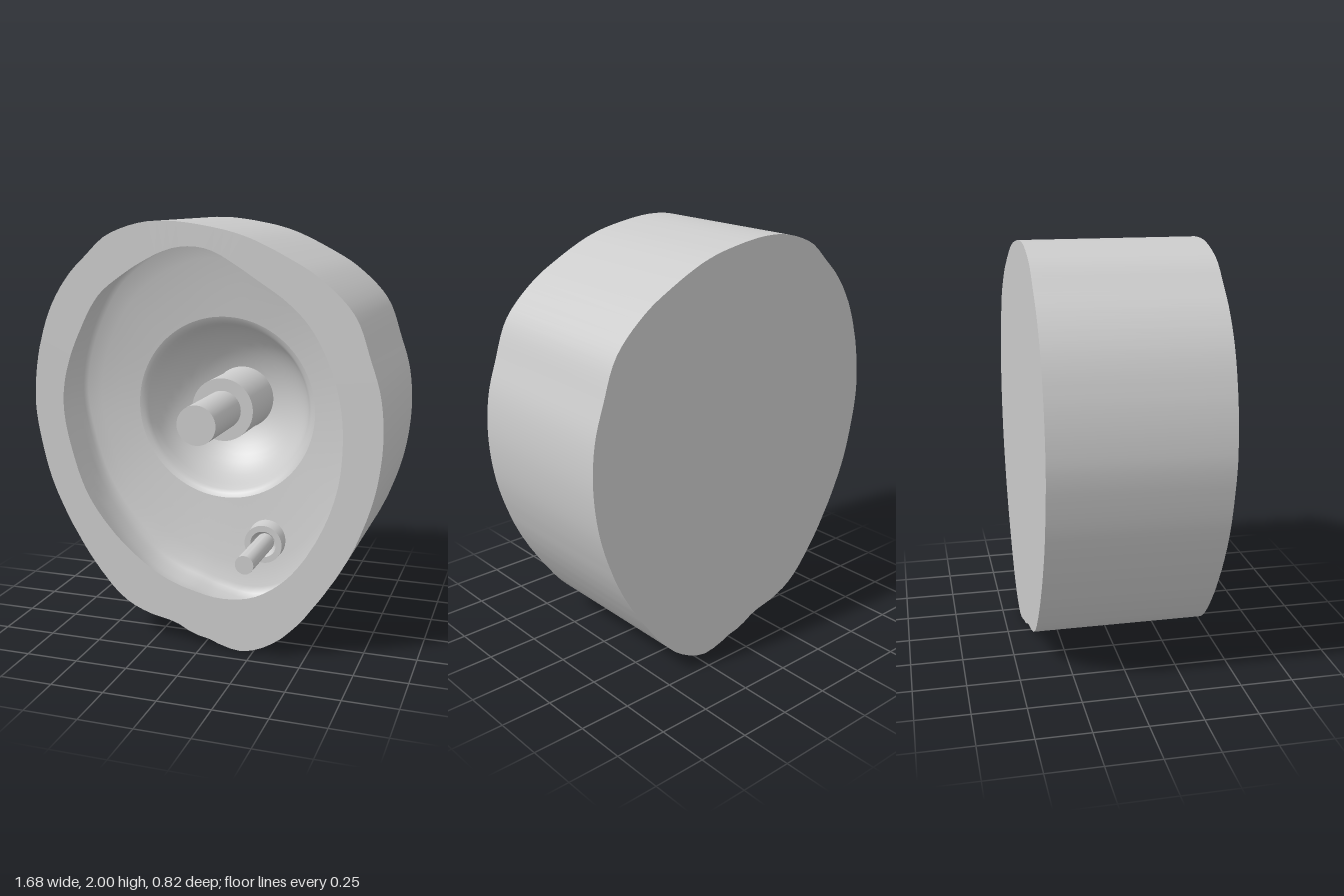
import * as THREE from 'three';
import { toCreasedNormals } from 'three/addons/utils/BufferGeometryUtils.js';

const CX = -0.02, CY = 1.08; // axis shared by the bowl and the main peg
const N = 128;
const HALF = 0.412;
const material = new THREE.MeshStandardMaterial({ color: 0xcccccc });

// Closed outlines of the block and of the cavity mouth, as x, y pairs
const BLOCK = [
  -0.28, 1.993, -0.15, 2, 0, 1.985, 0.2, 1.94, 0.4, 1.85, 0.55, 1.76, 0.7, 1.61, 0.77, 1.43,
  0.82, 1.27, 0.838, 1.08, 0.82, 0.88, 0.78, 0.72, 0.7, 0.52, 0.58, 0.32, 0.45, 0.15,
  0.33, 0.05, 0.2, 0.003, 0.1, 0.02, 0.03, 0.045, -0.04, 0.06, -0.13, 0.105, -0.28, 0.14,
  -0.4, 0.2, -0.53, 0.34, -0.66, 0.54, -0.76, 0.75, -0.81, 0.93, -0.84, 1.13,
  -0.82, 1.36, -0.75, 1.59, -0.65, 1.75, -0.56, 1.84, -0.46, 1.93,
];
const MOUTH = [
  -0.03, 1.89, 0.06, 1.87, 0.16, 1.815, 0.27, 1.745, 0.39, 1.665, 0.49, 1.57, 0.575, 1.43, 0.64, 1.24,
  0.66, 1.05, 0.64, 0.83, 0.58, 0.65, 0.48, 0.47, 0.37, 0.35, 0.24, 0.275, 0.09, 0.255,
  -0.03, 0.275, -0.16, 0.315, -0.29, 0.39, -0.45, 0.53, -0.575, 0.7, -0.65, 0.9,
  -0.693, 1.12, -0.675, 1.29, -0.6, 1.49, -0.5, 1.66, -0.39, 1.75, -0.26, 1.83, -0.14, 1.88,
];

// Turn an outline into N radii at even angles about the axis
function radii(flat) {
  const pts = [];
  for (let i = 0; i < flat.length; i += 2) pts.push(new THREE.Vector3(flat[i] - CX, flat[i + 1] - CY, 0));
  const polar = new THREE.CatmullRomCurve3(pts, true).getPoints(900).slice(0, -1)
    .map((p) => [(Math.atan2(p.y, p.x) + Math.PI * 2) % (Math.PI * 2), Math.hypot(p.x, p.y)])
    .sort((a, b) => a[0] - b[0]);
  return Array.from({ length: N }, (_, j) => {
    const angle = (j / N) * Math.PI * 2;
    return (polar.find((p) => p[0] >= angle) || polar[0])[1];
  });
}

const block = radii(BLOCK);
const mouth = radii(MOUTH);
const circle = (r) => new Array(N).fill(r);
const mix = (from, to, t) => from.map((r, j) => r + (to[j] - r) * t);

// Skin a list of rings; each ring is [radii, z]
function loft(name, rings) {
  const pos = [], index = [];
  for (const [outline, z] of rings) {
    for (let j = 0; j < N; j++) {
      const a = (j / N) * Math.PI * 2;
      pos.push(CX + outline[j] * Math.cos(a), CY + outline[j] * Math.sin(a), z);
    }
  }
  for (let i = 0; i < rings.length - 1; i++) {
    for (let j = 0; j < N; j++) {
      const k = (j + 1) % N;
      const a = i * N + j, b = i * N + k, c = b + N, d = a + N;
      index.push(a, b, c, a, c, d);
    }
  }
  const geo = new THREE.BufferGeometry();
  geo.setAttribute('position', new THREE.Float32BufferAttribute(pos, 3));
  geo.setIndex(index);
  geo.computeVertexNormals();
  const mesh = new THREE.Mesh(geo, material);
  mesh.name = name;
  return mesh;
}

// Stepped round peg pointing to the front; profile is [radius, z] from base to tip
function peg(name, x, y, profile) {
  const geo = new THREE.LatheGeometry(profile.map(([r, z]) => new THREE.Vector2(r, z)), 40);
  geo.rotateX(Math.PI / 2);
  const mesh = new THREE.Mesh(toCreasedNormals(geo, 0.7), material);
  mesh.name = name;
  mesh.position.set(x, y, 0);
  return mesh;
}

export function createModel() {
  const group = new THREE.Group();
  group.name = 'castingMould';

  // Solid block: back, side and flat front rim
  group.add(loft('backFace', [[circle(0), -HALF], [block, -HALF]]));
  group.add(loft('sideWall', [[block, -HALF], [block, HALF]]));
  group.add(loft('frontRim', [[block, HALF], [mouth, HALF]]));

  // Undercut cavity wall, as [share of the rim width, z], rounding into the floor
  const wall = [[0, HALF], [0.2, 0.37], [0.36, 0.31], [0.46, 0.24], [0.48, 0.18], [0.44, 0.12], [0.36, 0.085]];
  const floorEdge = mix(mouth, block, 0.24);
  const lip = circle(0.455);
  group.add(loft('cavityWallAndFloor', [
    ...wall.map(([t, z]) => [mix(mouth, block, t), z]),
    [floorEdge, 0.066], [mix(floorEdge, lip, 0.25), 0.045], [mix(floorEdge, lip, 0.6), 0.02], [lip, 0],
  ]));

  // Round bowl with a softened lip
  const bowl = [[lip, 0], [circle(0.435), -0.01], [circle(0.42), -0.028]];
  for (let i = 1; i <= 12; i++) {
    const t = (i / 12) * Math.PI / 2;
    bowl.push([circle(0.41 * Math.cos(t)), -0.04 - 0.3 * Math.sin(t)]);
  }
  group.add(loft('bowl', bowl));

  // Pegs rising to the level of the rim
  group.add(peg('mainPeg', -0.025, 1.08, [
    [0.165, -0.34], [0.157, -0.27], [0.157, 0.03], [0.095, 0.03], [0.095, HALF], [0, HALF],
  ]));
  group.add(peg('smallPeg', 0.208, 0.433, [
    [0.105, -0.005], [0.095, 0.045], [0.095, 0.1], [0.065, 0.1], [0.045, 0.06],
    [0.045, HALF], [0, HALF],
  ]));
  return group;
}
